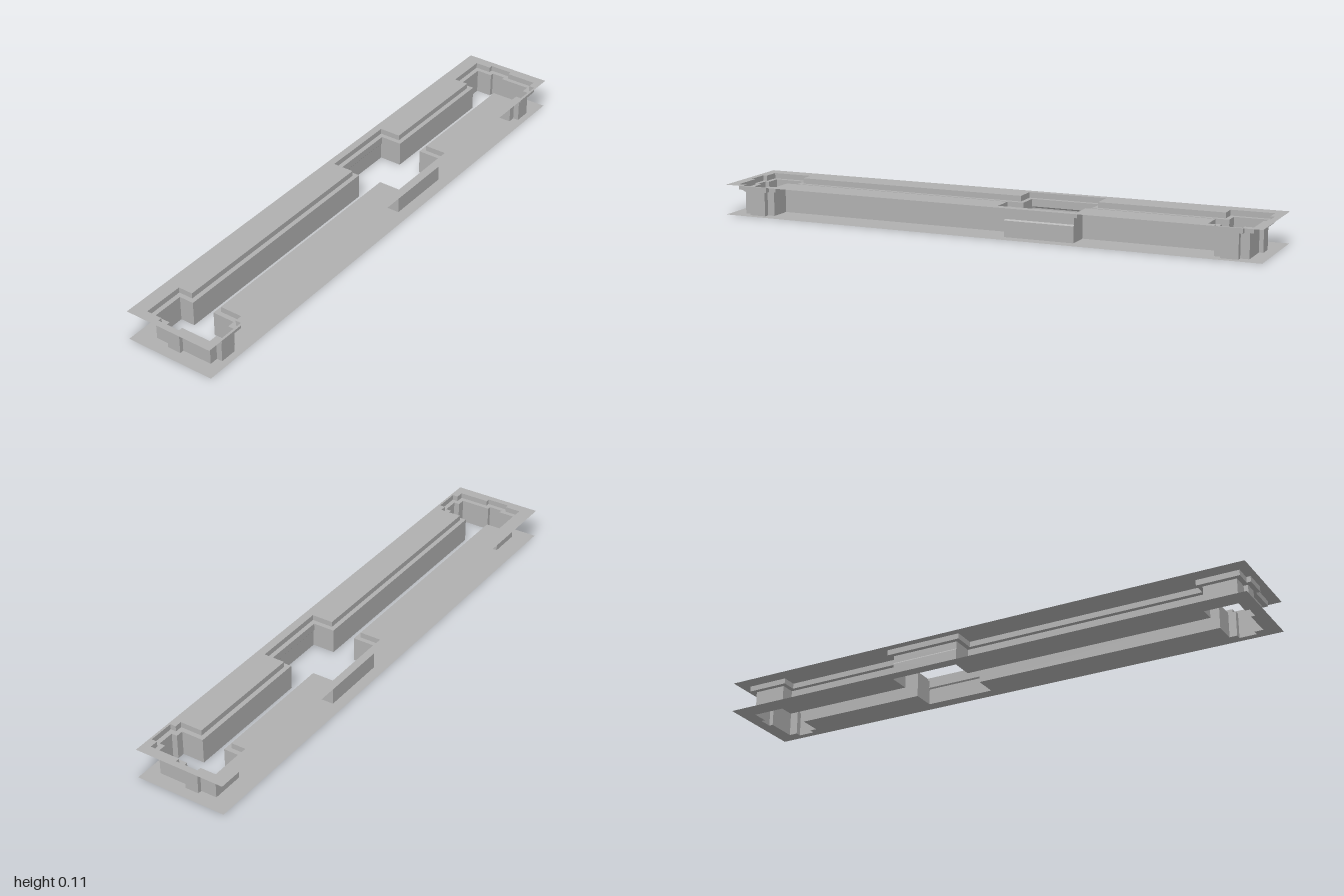
import * as THREE from 'three';

// Right-hand end pocket of the cutout, as [x, z] corners from back to front
const endPocket = [
  [0.826, -0.045], [0.826, -0.099], [0.945, -0.099], [0.945, -0.04], [0.96, -0.04],
  [0.96, 0.01], [0.945, 0.01], [0.945, 0.122], [0.914, 0.122], [0.914, 0.143],
  [0.853, 0.143], [0.853, 0.122], [0.826, 0.122], [0.826, 0.04],
];

// Whole cutout: two mirrored end pockets, a channel and an off-centre square bay
const cutout = [
  ...endPocket.map(([x, z]) => [-x, z]).reverse(),
  [0.082, -0.045], [0.082, -0.124], [0.336, -0.124], [0.336, -0.045],
  ...endPocket,
  [0.336, 0.04], [0.336, 0.12], [0.082, 0.12], [0.082, 0.04],
];

// Cutout grown outward by `grow`; `flare` widens only the square bay in z
function outline(grow, flare) {
  const n = cutout.length;
  return cutout.map(([x, z], i) => {
    const a = cutout[(i + n - 1) % n], b = cutout[(i + 1) % n];
    const sx = Math.sign(z - a[1]) + Math.sign(b[1] - z);
    const sz = -Math.sign(x - a[0]) - Math.sign(b[0] - x);
    const bay = Math.abs(x) < 0.5 && Math.abs(z) > 0.1 ? Math.sign(z) * flare : 0;
    return [x + sx * grow, z + sz * grow + bay];
  });
}

// Flat-shaded strip joining two outlines at heights y0 (lower) and y1 (upper)
function band(low, y0, high, y1) {
  const pos = [];
  low.forEach((p, i) => {
    const j = (i + 1) % low.length;
    const a = [p[0], y0, p[1]], b = [low[j][0], y0, low[j][1]];
    const c = [high[j][0], y1, high[j][1]], d = [high[i][0], y1, high[i][1]];
    pos.push(...a, ...b, ...c, ...a, ...c, ...d);
  });
  const g = new THREE.BufferGeometry();
  g.setAttribute('position', new THREE.Float32BufferAttribute(pos, 3));
  g.computeVertexNormals();
  return g;
}

// Flat rectangular sheet with the cutout as a hole
function sheet(hole, y) {
  const v = (x, z) => new THREE.Vector2(x, -z);
  const s = new THREE.Shape([v(-1, 0.168), v(1, 0.168), v(1, -0.168), v(-1, -0.168)]);
  s.holes.push(new THREE.Path(hole.map(([x, z]) => v(x, z))));
  return new THREE.ShapeGeometry(s).rotateX(-Math.PI / 2).translate(0, y, 0);
}

export function createModel() {
  const group = new THREE.Group();
  group.name = 'cutoutPlate';
  const grey = new THREE.MeshStandardMaterial({ color: 0xb0b0b0, side: THREE.DoubleSide });
  grey.name = 'plain grey';
  const add = (name, geometry) => {
    const mesh = new THREE.Mesh(geometry, grey);
    mesh.name = name;
    group.add(mesh);
  };

  const rim = outline(0.017, 0);
  const inner = outline(0, 0);
  const flared = outline(0, 0.004);

  // Upper and lower sheets
  add('topSheet', sheet(rim, 0.11));
  add('bottomSheet', sheet(flared, 0));

  // Recessed rim, its ledge, and the cutout walls down to the lower sheet
  add('rimWall', band(rim, 0.09, rim, 0.11));
  add('rimLedge', band(rim, 0.09, inner, 0.09));
  add('upperWall', band(inner, 0.063, inner, 0.09));
  add('clipBevel', band(flared, 0.058, inner, 0.063));
  add('lowerWall', band(flared, 0, flared, 0.058));

  return group;
}
